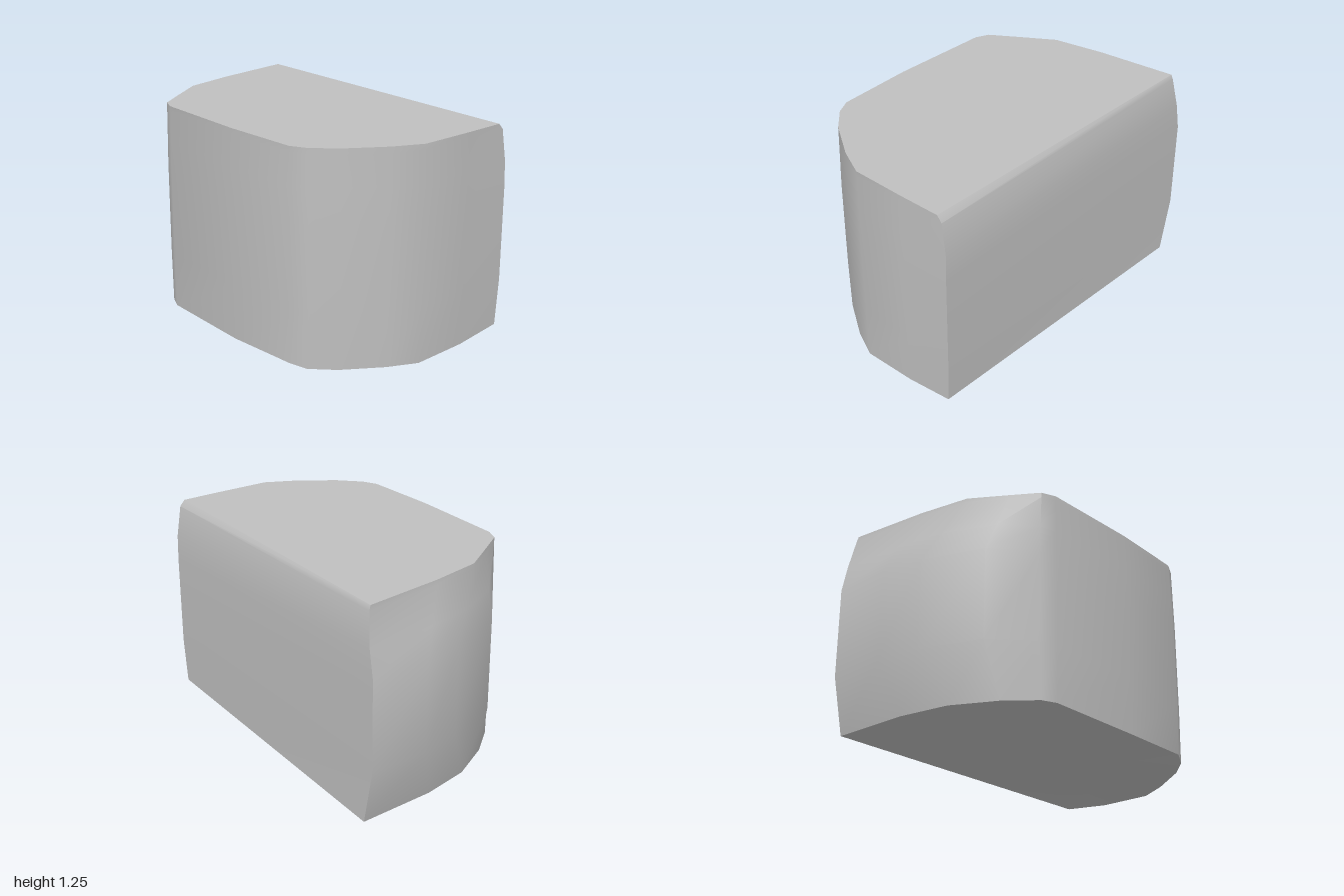
import * as THREE from 'three';
import { toCreasedNormals } from 'three/addons/utils/BufferGeometryUtils.js';

// Outline seen from above: widest x, z, then x, z at the top and bottom ends
const OUTLINE = [
  [0.605, 1, 0.605, 0.99], [0.3, 1, 0.3, 0.995], [-0.03, 1, -0.03, 0.995],
  [-0.2, 0.92, -0.2, 0.915], [-0.42, 0.78, -0.42, 0.77], [-0.54, 0.66, -0.54, 0.65],
  [-0.59, 0.57, -0.585, 0.56], [-0.607, 0.1, -0.602, 0.1], [-0.59, -0.5, -0.585, -0.5],
  [-0.55, -0.59, -0.55, -0.58], [-0.35, -0.81, -0.4, -0.68], [0, -0.945, -0.2, -0.81],
  [0.25, -1, 0.1, -0.87], [0.605, -1, 0.605, -0.93],
];

// Rings from bottom to top: height, inset amount, x of the flat side at front and back
const RINGS = [
  [0, 0.7, 0.592, 0.605],
  [0.33, 0, 0.605, 0.605],
  [0.87, 0, 0.605, 0.605],
  [1.03, 0.45, 0.603, 0.603],
  [1.215, 0.95, 0.575, 0.58],
  [1.25, 1, 0.545, 0.57],
];

function ringPoint(ring, i) {
  const [y, inset, xFront, xBack] = ring;
  const [mx, mz, ex, ez] = OUTLINE[i];
  const last = OUTLINE.length - 1;
  const t = i === last && y === 0 ? 1 : inset;
  let x = mx + (ex - mx) * t;
  if (i === 0) x = xFront;
  if (i === last) x = xBack;
  // the front corner of the underside is lifted a little
  const lift = y === 0 ? (i === 0 ? 0.045 : i === 1 ? 0.01 : i === 6 ? 0.015 : 0) : 0;
  // the upper face slopes slightly down to the back
  const z = mz + (ez - mz) * t;
  const drop = y === 1.25 ? 0.004 * (1 - z) : 0;
  return [x, y + lift - drop, z];
}

function createBodyGeometry() {
  const n = OUTLINE.length;
  const positions = [];
  const index = [];
  for (const ring of RINGS) {
    for (let i = 0; i < n; i++) positions.push(...ringPoint(ring, i));
  }
  // side walls
  for (let r = 0; r < RINGS.length - 1; r++) {
    for (let i = 0; i < n; i++) {
      const j = (i + 1) % n;
      const a = r * n + i, b = r * n + j;
      index.push(a, a + n, b, b, a + n, b + n);
    }
  }
  // bottom and top caps
  const bottom = positions.length / 3;
  const top = bottom + 1;
  positions.push(0, 0, 0, 0, 1.246, 0);
  const start = (RINGS.length - 1) * n;
  for (let i = 0; i < n; i++) {
    const j = (i + 1) % n;
    index.push(bottom, i, j, top, start + j, start + i);
  }
  const geometry = new THREE.BufferGeometry();
  geometry.setAttribute('position', new THREE.Float32BufferAttribute(positions, 3));
  geometry.setIndex(index);
  return toCreasedNormals(geometry, 0.55);
}

export function createModel() {
  const group = new THREE.Group();
  group.name = 'roundedBlock';
  const grey = new THREE.MeshStandardMaterial({ color: 0xbfbfbf });
  grey.name = 'light grey';
  const body = new THREE.Mesh(createBodyGeometry(), grey);
  body.name = 'body';
  group.add(body);
  return group;
}
